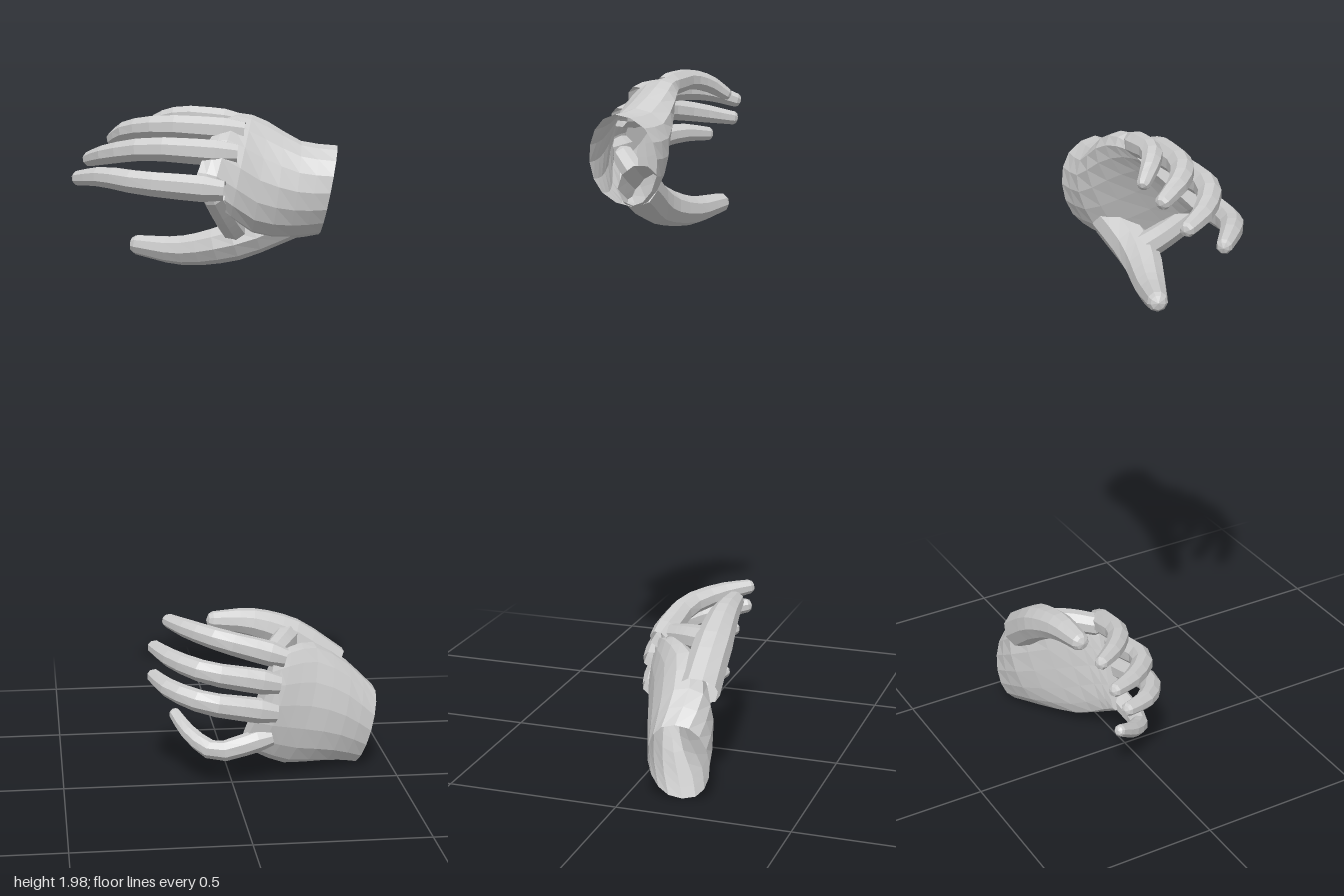
import * as THREE from 'three';

const V = (a) => new THREE.Vector3(...a);
const skin = new THREE.MeshStandardMaterial({ color: 0xcccccc, flatShading: true, side: THREE.DoubleSide });

// Joins rings of points into a skin; the last ring closes on the point `end`
function loft(name, rings, end) {
  const n = rings[0].length, pos = [], idx = [];
  rings.forEach((r) => r.forEach((p) => pos.push(p.x, p.y, p.z)));
  pos.push(end.x, end.y, end.z);
  const last = (rings.length - 1) * n, tip = rings.length * n;
  for (let j = 0; j < n; j++) {
    const k = (j + 1) % n;
    for (let i = 0; i < rings.length - 1; i++) {
      const a = i * n + j, b = i * n + k;
      idx.push(a, b, b + n, a, b + n, a + n);
    }
    idx.push(last + j, last + k, tip);
  }
  const g = new THREE.BufferGeometry();
  g.setAttribute('position', new THREE.Float32BufferAttribute(pos, 3));
  g.setIndex(idx);
  g.computeVertexNormals();
  const mesh = new THREE.Mesh(g, skin);
  mesh.name = name;
  return mesh;
}

// Tapered digit through its joints, with a rounded tip
function digit(name, joints, radii, sides = 8) {
  const curve = new THREE.CatmullRomCurve3(joints.map(V), false, 'centripetal');
  const steps = 9, rings = [];
  const side = new THREE.Vector3(0, 1, 0);
  const ring = (p, t, r) => {
    const u = side.clone().addScaledVector(t, -side.dot(t)).normalize();
    const v = t.clone().cross(u);
    const pts = [];
    for (let j = 0; j < sides; j++) {
      const a = ((j + 0.5) / sides) * Math.PI * 2;
      pts.push(p.clone().addScaledVector(u, Math.cos(a) * r).addScaledVector(v, Math.sin(a) * r));
    }
    rings.push(pts);
  };
  for (let i = 0; i <= steps; i++) {
    const s = i / steps, f = s * (radii.length - 1), k = Math.min(Math.floor(f), radii.length - 2);
    ring(curve.getPoint(s), curve.getTangent(s), THREE.MathUtils.lerp(radii[k], radii[k + 1], f - k));
  }
  const t = curve.getTangent(1), p = curve.getPoint(1), r = radii[radii.length - 1];
  ring(p.clone().addScaledVector(t, r * 0.45), t, r * 0.72);
  return loft(name, rings, p.clone().addScaledVector(t, r * 0.7));
}

// Cupped palm; each section is [centre, half width to the thumb side, half thickness to the back, cup]
function palm(sections, sides = 16, steps = 8) {
  const path = (k) => new THREE.CatmullRomCurve3(sections.map((s) => V(s[k])));
  const [cs, ws, ns] = [path(0), path(1), path(2)];
  const axis = V(sections[0][1]).cross(V(sections[0][2]));
  const dir = Math.sign(axis.dot(V(sections[2][0]).sub(V(sections[0][0]))));
  const rings = [];
  for (let i = 0; i <= steps; i++) {
    const s = i / steps, c = cs.getPoint(s), w = ws.getPoint(s), n = ns.getPoint(s);
    const f = s * (sections.length - 1), k = Math.min(Math.floor(f), sections.length - 2);
    const cup = THREE.MathUtils.lerp(sections[k][3], sections[k + 1][3], f - k);
    const back = n.clone().normalize(), pts = [];
    for (let j = 0; j < sides; j++) {
      const a = (dir * j / sides) * Math.PI * 2, ca = Math.cos(a), sa = Math.sin(a);
      pts.push(c.clone().addScaledVector(w, ca)
        .addScaledVector(n, Math.sign(sa) * Math.pow(Math.abs(sa), 0.85))
        .addScaledVector(back, -cup * ca * ca));
    }
    rings.push(pts);
  }
  return loft('palm', rings, cs.getPoint(1));
}

function hand(name, { sections, fingers, thumb, web }) {
  const g = new THREE.Group();
  g.name = name;
  g.add(palm(sections));
  for (const [label, joints] of Object.entries(fingers)) {
    // Root runs back inside the palm and raises the knuckle
    const root = V(joints[0]).lerp(V(joints[1]), -0.4).toArray();
    const s = label === 'littleFinger' ? 0.87 : 1;
    g.add(digit(label, [root, ...joints], [0.028, 0.039, 0.034, 0.029, 0.021].map((r) => r * s)));
  }
  g.add(digit('thumb', thumb, [0.06, 0.056, 0.043, 0.028], 9));
  g.add(digit('thumbWeb', web, [0.04, 0.036, 0.034]));
  return g;
}

export function createModel() {
  const model = new THREE.Group();
  model.name = 'hands';

  // Upper hand, thumb below
  model.add(hand('upperHand', {
    sections: [
      [[0.265, 1.76, 0.055], [-0.025, -0.115, 0.03], [0, 0.04, 0.095], 0],
      [[0.17, 1.765, 0.06], [-0.02, -0.125, 0.05], [0, 0.045, 0.09], 0.01],
      [[0.07, 1.81, 0.085], [-0.03, -0.145, 0.08], [0, 0.04, 0.065], 0.025],
      [[-0.03, 1.865, 0.11], [-0.05, -0.115, 0.1], [0, 0.035, 0.045], 0.025],
      [[-0.08, 1.87, 0.11], [-0.05, -0.095, 0.09], [0, 0.022, 0.027], 0.02],
    ],
    fingers: {
      indexFinger: [[-0.11, 1.77, 0.205], [-0.27, 1.785, 0.165], [-0.37, 1.8, 0.1], [-0.435, 1.795, 0.04]],
      middleFinger: [[-0.07, 1.865, 0.15], [-0.24, 1.875, 0.115], [-0.35, 1.86, 0.03], [-0.4, 1.845, -0.05]],
      ringFinger: [[-0.04, 1.925, 0.09], [-0.2, 1.935, 0.055], [-0.29, 1.925, -0.01], [-0.33, 1.9, -0.08]],
      littleFinger: [[-0.03, 1.955, 0.02], [-0.14, 1.965, 0], [-0.2, 1.95, -0.04], [-0.235, 1.92, -0.08]],
    },
    thumb: [[0.16, 1.685, 0.05], [0, 1.62, 0.05], [-0.14, 1.592, 0], [-0.268, 1.605, -0.055]],
    web: [[0.01, 1.64, 0.06], [-0.03, 1.69, 0.12], [-0.07, 1.75, 0.18]],
  }));

  // Lower hand, thumb above
  model.add(hand('lowerHand', {
    sections: [
      [[0.418, 0.13, -0.155], [0.032, 0.12, 0], [0.015, 0, 0.085], 0],
      [[0.33, 0.18, -0.13], [0.04, 0.15, -0.03], [0.02, 0.01, 0.09], 0.01],
      [[0.22, 0.225, -0.07], [0.05, 0.175, -0.04], [0.02, 0.01, 0.065], 0.025],
      [[0.13, 0.25, -0.015], [0.055, 0.155, -0.02], [0.01, 0, 0.045], 0.025],
      [[0.08, 0.255, 0.005], [0.05, 0.135, 0], [0.005, 0, 0.03], 0.02],
    ],
    fingers: {
      indexFinger: [[0.11, 0.4, -0.015], [-0.02, 0.435, -0.035], [-0.12, 0.455, -0.11], [-0.175, 0.465, -0.18]],
      middleFinger: [[0.08, 0.325, 0.02], [-0.07, 0.355, 0.02], [-0.17, 0.375, -0.07], [-0.22, 0.39, -0.16]],
      ringFinger: [[0.07, 0.24, 0.03], [-0.08, 0.27, 0.04], [-0.18, 0.295, -0.03], [-0.225, 0.312, -0.12]],
      littleFinger: [[0.07, 0.14, 0.015], [-0.05, 0.115, 0.02], [-0.12, 0.15, -0.04], [-0.162, 0.195, -0.11]],
    },
    thumb: [[0.33, 0.31, -0.185], [0.2, 0.405, -0.185], [0.08, 0.452, -0.18], [-0.04, 0.462, -0.175]],
    web: [[0.19, 0.41, -0.17], [0.16, 0.405, -0.1], [0.12, 0.39, -0.03]],
  }));

  return model;
}
